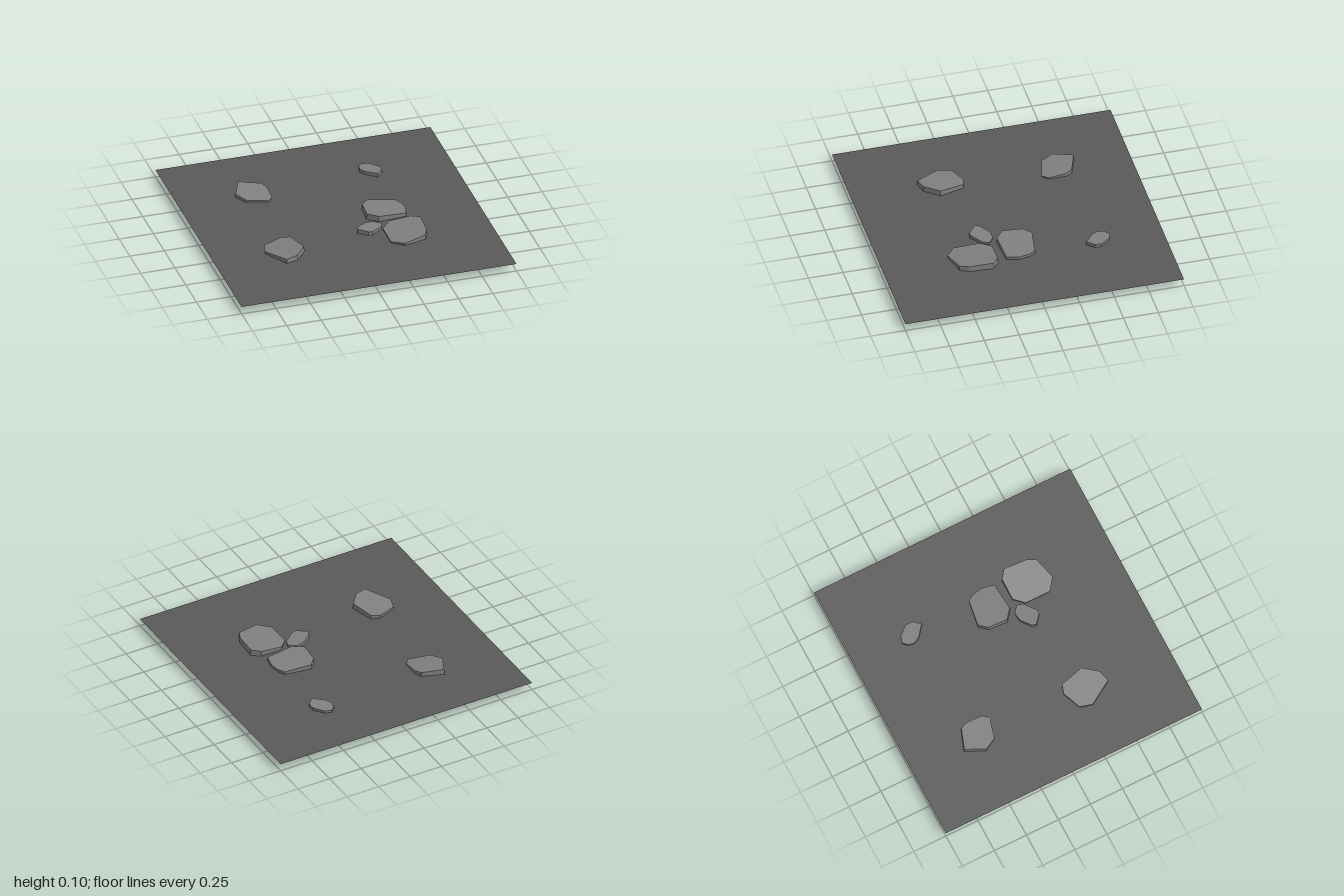
import * as THREE from 'three';

// Each stone: outline as [x, z] pairs, height of its top, thickness, slope of the top along x and z
const STONES = [
  { name: 'backRightStone', top: 0.08, thick: 0.065, slope: [-0.03, -0.1],
    outline: [[-0.52, -0.61], [-0.37, -0.555], [-0.345, -0.505], [-0.345, -0.38], [-0.385, -0.34], [-0.535, -0.38], [-0.585, -0.47]] },
  { name: 'frontRightStone', top: 0.083, thick: 0.065, slope: [0.08, 0.04],
    outline: [[-0.465, 0.195], [-0.4, 0.215], [-0.355, 0.39], [-0.435, 0.49], [-0.52, 0.515], [-0.625, 0.34], [-0.6, 0.25]] },
  { name: 'frontLeftStone', top: 0.082, thick: 0.066, slope: [0.1, -0.02],
    outline: [[0.32, 0.2], [0.48, 0.2], [0.54, 0.245], [0.53, 0.42], [0.5, 0.48], [0.34, 0.525], [0.255, 0.46], [0.255, 0.27]] },
  { name: 'middleStone', top: 0.088, thick: 0.067, slope: [-0.07, 0.02],
    outline: [[0.255, -0.105], [0.45, -0.075], [0.475, -0.03], [0.49, 0.045], [0.47, 0.135], [0.265, 0.15], [0.195, 0.095], [0.205, -0.05]] },
  { name: 'smallMiddleStone', top: 0.08, thick: 0.042, slope: [-0.08, 0.02],
    outline: [[0.085, 0.23], [0.155, 0.175], [0.22, 0.165], [0.27, 0.205], [0.255, 0.25], [0.17, 0.315], [0.14, 0.315], [0.075, 0.26]] },
  { name: 'smallBackStone', top: 0.078, thick: 0.046, slope: [0, 0.05],
    outline: [[0.385, -0.63], [0.435, -0.615], [0.49, -0.545], [0.49, -0.495], [0.445, -0.445], [0.37, -0.505], [0.345, -0.55], [0.35, -0.595]] },
];

// Flat slab with an irregular outline, tilted about the middle of its top face
function makeStone({ name, top, thick, slope, outline }, material) {
  const box = new THREE.Box2().setFromPoints(outline.map(([x, z]) => new THREE.Vector2(x, z)));
  const mid = box.getCenter(new THREE.Vector2());
  const shape = new THREE.Shape(outline.map(([x, z]) => new THREE.Vector2(x, z).sub(mid)));
  const geometry = new THREE.ExtrudeGeometry(shape, { depth: thick, bevelEnabled: false });
  geometry.rotateX(Math.PI / 2);
  const stone = new THREE.Mesh(geometry, material);
  const normal = new THREE.Vector3(-slope[0], 1, -slope[1]).normalize();
  stone.quaternion.setFromUnitVectors(new THREE.Vector3(0, 1, 0), normal);
  stone.position.set(mid.x, top, mid.y);
  stone.name = name;
  return stone;
}

export function createModel() {
  const model = new THREE.Group();
  model.name = 'stonesOnGround';

  // Thin ground sheet, cutting through the half-sunk stones
  const ground = new THREE.Mesh(
    new THREE.PlaneGeometry(2, 2).rotateX(-Math.PI / 2),
    new THREE.MeshStandardMaterial({ color: 0x5a5a5a, side: THREE.DoubleSide })
  );
  ground.position.y = 0.055;
  ground.name = 'groundSheet';
  model.add(ground);

  // Scattered flat stones
  const stoneMaterial = new THREE.MeshStandardMaterial({ color: 0x808080, flatShading: true });
  const stones = new THREE.Group();
  stones.name = 'stones';
  for (const spec of STONES) stones.add(makeStone(spec, stoneMaterial));
  model.add(stones);
  return model;
}
